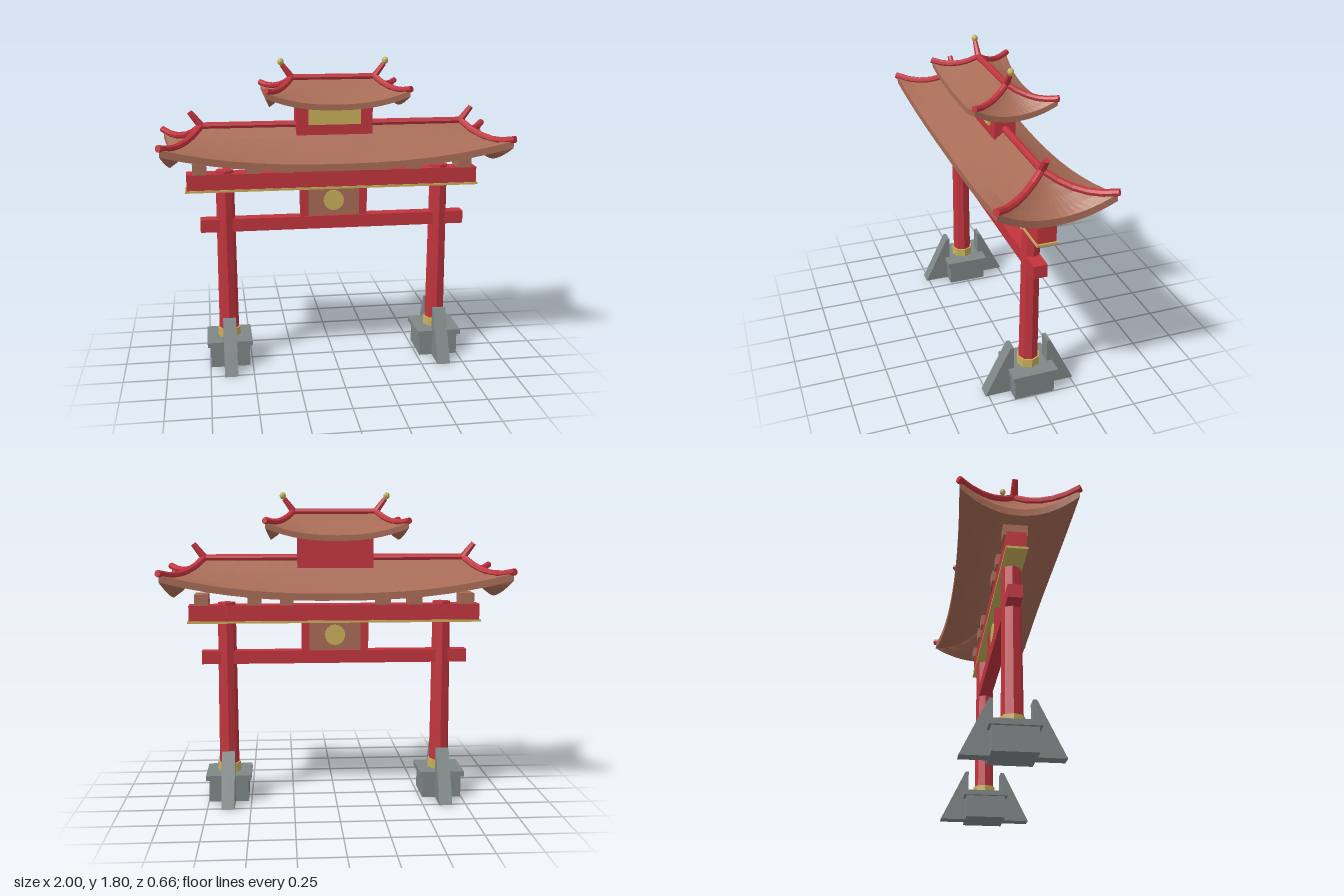
import * as THREE from 'three';

const mat = (name, color) => {
  const m = new THREE.MeshStandardMaterial({ color, flatShading: true });
  m.name = name;
  return m;
};

export function createModel() {
  const red = mat('red lacquer', 0xc2343e);
  const brown = mat('brown tile', 0xa86c56);
  const gold = mat('gold', 0xc8b05a);
  const stone = mat('grey stone', 0x7f8787);

  const model = new THREE.Group();
  model.name = 'gateway';

  const add = (name, geometry, material, x = 0, y = 0, z = 0, parent = model) => {
    const mesh = new THREE.Mesh(geometry, material);
    mesh.name = name;
    mesh.position.set(x, y, z);
    parent.add(mesh);
    return mesh;
  };
  // Box given by its width, depth and its bottom and top heights
  const box = (name, material, w, d, y0, y1, x = 0, z = 0, parent = model) =>
    add(name, new THREE.BoxGeometry(w, y1 - y0, d), material, x, (y0 + y1) / 2, z, parent);
  // Round bar between two points
  const rod = (name, a, b, r0, r1, parent) => {
    const dir = b.clone().sub(a);
    const mid = a.clone().add(b).multiplyScalar(0.5);
    const bar = add(name, new THREE.CylinderGeometry(r1, r0, dir.length(), 8), red, mid.x, mid.y, mid.z, parent);
    bar.quaternion.setFromUnitVectors(new THREE.Vector3(0, 1, 0), dir.normalize());
  };

  // Pillars with stone bases, collars and sloping buttresses
  const wedge = new THREE.Shape([
    new THREE.Vector2(0.10, 0), new THREE.Vector2(0.267, 0),
    new THREE.Vector2(0.12, 0.3), new THREE.Vector2(0.10, 0.3),
  ]);
  const wedgeGeo = new THREE.ExtrudeGeometry(wedge, { depth: 0.076, bevelEnabled: false });
  wedgeGeo.translate(0, 0, -0.038);
  for (const side of [-1, 1]) {
    const pillar = new THREE.Group();
    pillar.name = side > 0 ? 'leftPillar' : 'rightPillar';
    pillar.position.x = side * 0.632;
    model.add(pillar);
    box('baseBlock', stone, 0.23, 0.235, 0, 0.13, 0, 0, pillar);
    box('baseSlab', stone, 0.265, 0.265, 0.13, 0.16, 0, 0, pillar);
    for (const turn of [-1, 1]) {
      const buttress = add('buttress', wedgeGeo, stone, 0, 0, 0, pillar);
      buttress.rotation.y = turn * Math.PI / 2;
    }
    add('collar', new THREE.CylinderGeometry(0.067, 0.067, 0.052, 8), gold, 0, 0.186, 0, pillar);
    add('column', new THREE.CylinderGeometry(0.052, 0.058, 0.97, 8), red, 0, 0.685, 0, pillar);
  }

  // Cross beams and gold trim
  box('lowerBeam', red, 1.56, 0.078, 0.81, 0.885);
  box('upperBeam', red, 1.7, 0.104, 1.062, 1.155);
  box('beamTrim', gold, 1.72, 0.116, 1.05, 1.063);

  // Centre panel with a round medallion on both faces
  box('centrePanel', brown, 0.31, 0.04, 0.885, 1.05);
  for (const x of [-0.173, 0.173]) box('panelPost', red, 0.045, 0.064, 0.885, 1.05, x);
  const disc = add('medallion', new THREE.CylinderGeometry(0.06, 0.06, 0.056, 16), gold, 0, 0.975, 0);
  disc.rotation.x = Math.PI / 2;

  // Brackets under the main roof
  for (const x of [0.283, 0.47, 0.775])
    for (const s of [-1, 1]) box('bracket', brown, 0.08, 0.13, 1.155, 1.22, s * x);

  // Curved hip roof: four sagging slopes with an upswept eave, as a thin shell
  function buildRoof(name, o) {
    const roof = new THREE.Group();
    roof.name = name;
    model.add(roof);

    // u runs along the eave (-1..1), t from the ridge (0) to the eave (1)
    const point = (side, u, t) => {
      const a = Math.abs(u), end = side % 2 === 1;
      const eaveY = o.eaveY + (o.cornerY - o.eaveY) * Math.pow(a, end ? 2.1 : 2.4);
      const sag = o.sag * (0.35 + 0.65 * a * a) * 4 * t * (1 - t);
      const y = o.ridgeY + (eaveY - o.ridgeY) * t - sag;
      let x, z;
      if (end) {
        const out = o.midX + (o.cornerX - o.midX) * a * a;
        x = o.ridgeX + (out - o.ridgeX) * t;
        z = -u * o.cornerZ * t;
      } else {
        x = u * (o.ridgeX + (o.cornerX - o.ridgeX) * t);
        z = (o.midZ + (o.cornerZ - o.midZ) * a * a) * t;
      }
      return side > 1 ? new THREE.Vector3(-x, y, -z) : new THREE.Vector3(x, y, z);
    };

    const pos = [];
    const quad = (a, b, c, d) => [a, b, c, a, c, d].forEach((p) => pos.push(p.x, p.y, p.z));
    const drop = (p) => p.clone().setY(p.y - o.thick);
    const rows = 4, cols = 16;
    for (let side = 0; side < 4; side++) {
      for (let i = 0; i < cols; i++) {
        const u0 = -1 + (2 * i) / cols, u1 = -1 + (2 * (i + 1)) / cols;
        for (let j = 0; j < rows; j++) {
          const t0 = j / rows, t1 = (j + 1) / rows;
          const a = point(side, u0, t0), b = point(side, u0, t1);
          const c = point(side, u1, t1), d = point(side, u1, t0);
          quad(a, b, c, d);
          quad(drop(d), drop(c), drop(b), drop(a));
        }
        const e0 = point(side, u0, 1), e1 = point(side, u1, 1);
        quad(e0, drop(e0), drop(e1), e1);
      }
    }
    const geo = new THREE.BufferGeometry();
    geo.setAttribute('position', new THREE.Float32BufferAttribute(pos, 3));
    geo.computeVertexNormals();
    add('roofTiles', geo, brown, 0, 0, 0, roof);

    // Ridge bar, hip bars and upturned horns
    const r = o.bar, lift = 0.008;
    const ridgeEnd = (s) => new THREE.Vector3(s * o.ridgeX, o.ridgeY + lift, 0);
    rod('ridgeBar', ridgeEnd(-1), ridgeEnd(1), r, r, roof);
    for (const s of [-1, 1]) {
      rod('horn', ridgeEnd(s), new THREE.Vector3(s * o.hornX, o.hornY, 0), r * 1.1, r * 0.8, roof);
      for (const f of [-1, 1]) {
        const at = (t) => {
          const p = point(0, 1, t);
          return new THREE.Vector3(s * p.x, p.y + lift, f * p.z);
        };
        for (let k = 0; k < 5; k++) rod('hipBar', at(k / 5), at((k + 1) / 5 + 0.02), r, r, roof);
      }
    }
    return roof;
  }

  buildRoof('mainRoof', {
    ridgeX: 0.755, ridgeY: 1.42, midX: 0.93, midZ: 0.27, cornerX: 0.98, cornerZ: 0.312,
    eaveY: 1.242, cornerY: 1.352, sag: 0.045, thick: 0.04, bar: 0.02, hornX: 0.817, hornY: 1.508,
  });

  // Upper storey with a front plaque
  box('upperBlock', red, 0.44, 0.12, 1.37, 1.585);
  box('plaque', gold, 0.3, 0.014, 1.43, 1.53, 0, 0.066);

  const upper = buildRoof('upperRoof', {
    ridgeX: 0.238, ridgeY: 1.685, midX: 0.37, midZ: 0.205, cornerX: 0.4, cornerZ: 0.228,
    eaveY: 1.562, cornerY: 1.634, sag: 0.03, thick: 0.032, bar: 0.0175, hornX: 0.292, hornY: 1.765,
  });
  for (const s of [-1, 1]) {
    const finial = add('finial', new THREE.SphereGeometry(0.018, 10, 8), gold, s * 0.3, 1.782, 0, upper);
    finial.scale.y = 1.15;
  }

  return model;
}
